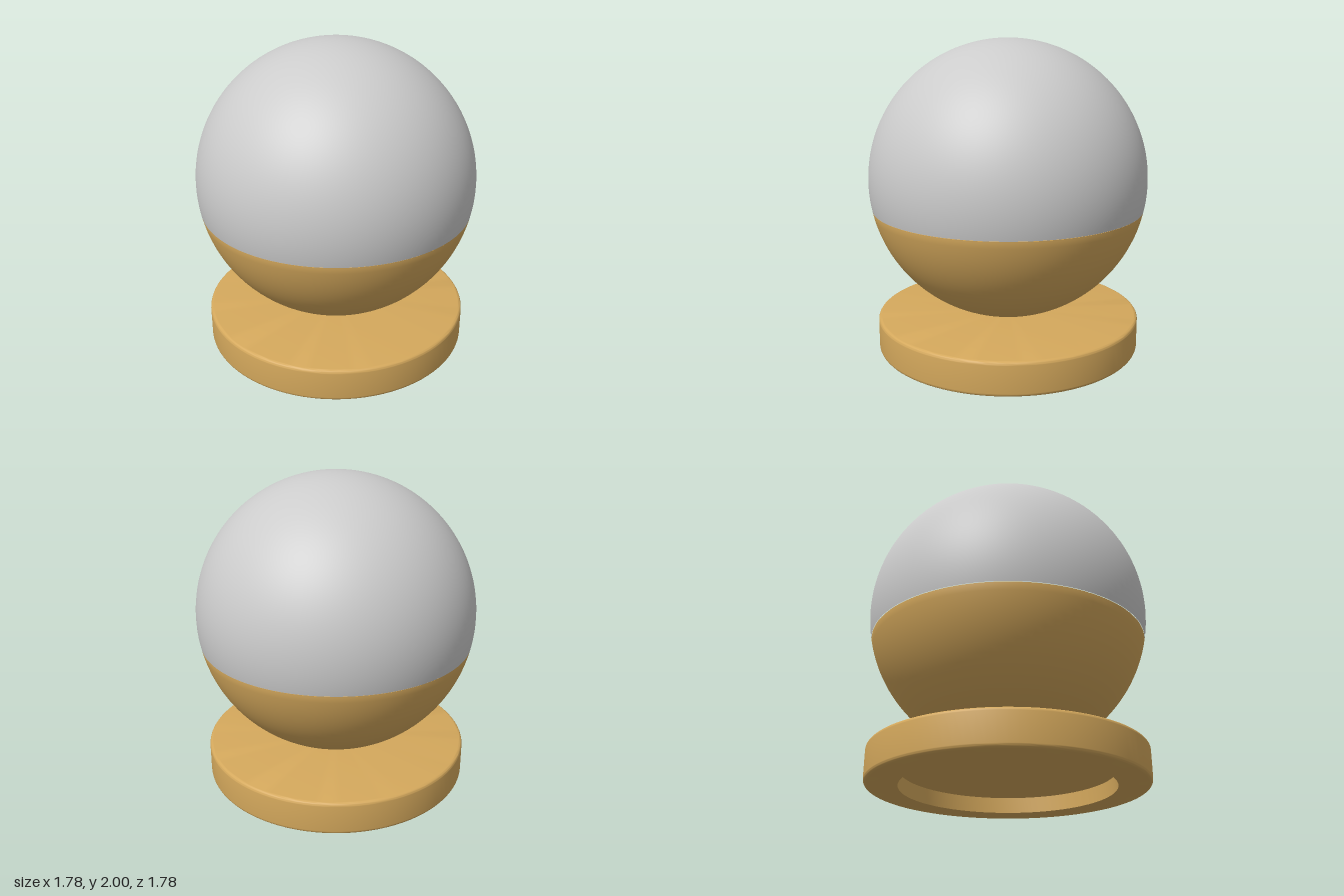
import * as THREE from 'three';
import { toCreasedNormals } from 'three/addons/utils/BufferGeometryUtils.js';

const RADIUS = 0.89, CENTRE = 1.11, SEAM = 0.93;
const BASE_RADIUS = 0.855, BASE_TOP = 0.217, BEVEL = 0.022;

// Points along a circular arc in the profile plane
function arc(cx, cy, r, from, to, steps) {
  return Array.from({ length: steps + 1 }, (_, i) => {
    const a = from + (to - from) * i / steps;
    return new THREE.Vector2(Math.max(0, cx + r * Math.cos(a)), cy + r * Math.sin(a));
  });
}

export function createModel() {
  const group = new THREE.Group();
  const grey = new THREE.MeshStandardMaterial({ color: 0xcccccc });
  const gold = new THREE.MeshStandardMaterial({ color: 0xd4a85c });

  function add(name, geometry, material) {
    const mesh = new THREE.Mesh(geometry, material);
    mesh.name = name;
    group.add(mesh);
  }

  const seamAngle = Math.acos((SEAM - CENTRE) / RADIUS);

  // Upper part of the ball, closed by a flat disc at the seam
  const globe = new THREE.SphereGeometry(RADIUS, 96, 48, 0, Math.PI * 2, 0, seamAngle);
  globe.translate(0, CENTRE, 0);
  add('globe', globe, grey);

  // Lower bowl with a slightly softened rim and a flat top under the globe
  const rimAngle = Math.asin((SEAM - 0.01 - CENTRE) / RADIUS);
  const rimRadius = Math.sqrt(RADIUS ** 2 - (SEAM - CENTRE) ** 2);
  const bowlProfile = [
    ...arc(0, CENTRE, RADIUS, -Math.PI / 2, rimAngle, 32),
    new THREE.Vector2(rimRadius - 0.002, SEAM - 0.002),
    new THREE.Vector2(rimRadius - 0.008, SEAM),
    new THREE.Vector2(0, SEAM),
  ];
  add('bowl', toCreasedNormals(new THREE.LatheGeometry(bowlProfile, 96), 0.6), gold);

  // Round base with bevelled edges and a recess underneath
  const edge = BASE_RADIUS - BEVEL;
  const baseProfile = [
    new THREE.Vector2(0, 0.1),
    new THREE.Vector2(0.653, 0.1),
    new THREE.Vector2(0.653, 0),
    ...arc(edge, BEVEL, BEVEL, -Math.PI / 2, 0, 6),
    ...arc(edge, BASE_TOP - BEVEL, BEVEL, 0, Math.PI / 2, 6),
    new THREE.Vector2(0, BASE_TOP),
  ];
  add('base', toCreasedNormals(new THREE.LatheGeometry(baseProfile, 96), 0.6), gold);

  return group;
}
